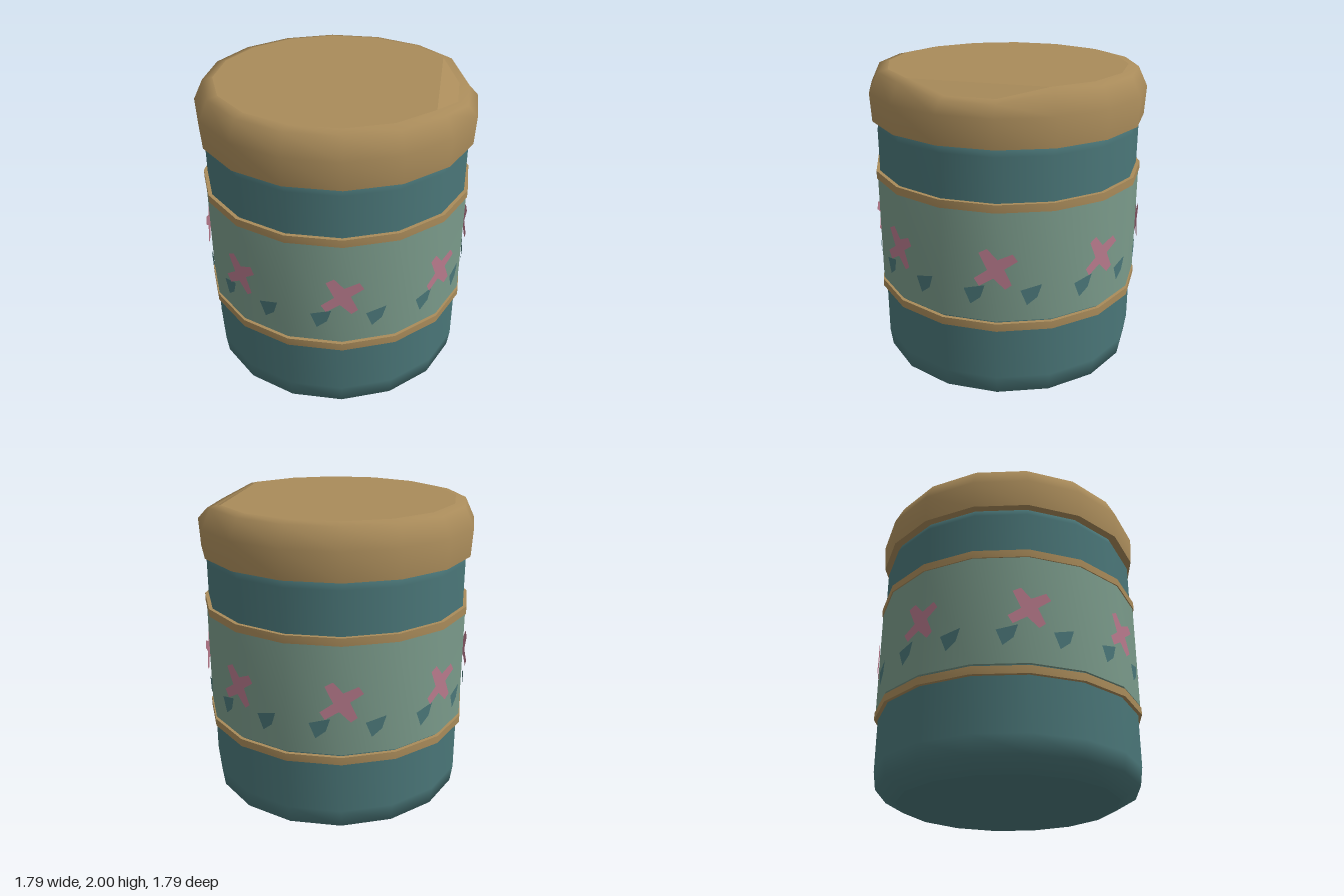
import * as THREE from 'three';
import { toCreasedNormals } from 'three/addons/utils/BufferGeometryUtils.js';

const SIDES = 16;
const STEP = (Math.PI * 2) / SIDES;

function makeMaterial(name, color, side = THREE.FrontSide) {
  const material = new THREE.MeshStandardMaterial({ color, side });
  material.name = name;
  return material;
}

function lathe(profile) {
  return new THREE.LatheGeometry(profile.map(([r, y]) => new THREE.Vector2(r, y)), SIDES);
}

// Flat polygon from corners in counter-clockwise order
function fan(corners) {
  const geometry = new THREE.BufferGeometry().setFromPoints(corners);
  const index = [];
  for (let i = 1; i < corners.length - 1; i++) index.push(0, i, i + 1);
  geometry.setIndex(index);
  geometry.computeVertexNormals();
  return geometry;
}

function outline(points) {
  return new THREE.ShapeGeometry(new THREE.Shape(points.map(([x, y]) => new THREE.Vector2(x, y))));
}

export function createModel() {
  const model = new THREE.Group();
  model.name = 'canister';

  const gold = makeMaterial('gold', 0xa98b5a);
  const teal = makeMaterial('teal', 0x4a7678);
  const sage = makeMaterial('sage', 0x7a9a8a);
  const pink = makeMaterial('pink', 0xb87a8c, THREE.DoubleSide);
  const leafTeal = makeMaterial('leaf teal', 0x4a7678, THREE.DoubleSide);

  function add(name, geometry, material, parent = model) {
    const mesh = new THREE.Mesh(geometry, material);
    mesh.name = name;
    parent.add(mesh);
    return mesh;
  }

  // Body with a rounded foot and shoulder
  add('body', lathe([[0.71, 0], [0.84, 0.075], [0.856, 0.19], [0.856, 1.63], [0.83, 1.69], [0.8, 1.72]]), teal);
  add('base', lathe([[0, 0], [0.71, 0]]), teal);

  // Wrapped sleeve and its two trim bands
  function ring(name, radius, bottom, top, material) {
    const profile = [[0.83, bottom], [radius, bottom], [radius, top], [0.83, top]];
    add(name, toCreasedNormals(lathe(profile), Math.PI / 6), material);
  }
  ring('sleeve', 0.873, 0.6, 1.305, sage);
  ring('lowerBand', 0.88, 0.535, 0.585, gold);
  ring('upperBand', 0.88, 1.305, 1.355, gold);

  // Lid, with two rim corners pressed down into a dent
  const lid = new THREE.Group();
  lid.name = 'lid';
  model.add(lid);
  const lidProfile = [[0.885, 1.68], [0.895, 1.86], [0.835, 1.985], [0.77, 2]];
  const lidSide = lathe(lidProfile);
  const position = lidSide.attributes.position;
  for (const corner of [1, 2]) {
    for (const level of [2, 3]) {
      const i = corner * lidProfile.length + level;
      position.setY(i, position.getY(i) - 0.06);
    }
  }
  add('lidSide', lidSide, gold, lid);
  add('lidUnderside', lathe([[0.8, 1.68], [0.885, 1.68]]), gold, lid);

  const rim = [];
  for (let i = 0; i < SIDES; i++) {
    rim.push(new THREE.Vector3().fromBufferAttribute(position, i * lidProfile.length + 3));
  }
  add('lidTop', fan([rim[0], ...rim.slice(3)]), gold, lid);
  add('lidDent', fan(rim.slice(0, 4)), gold, lid);

  // Painted details repeated around the sleeve
  function scatter(name, geometry, material, count, offset, radius, y) {
    const group = new THREE.Group();
    group.name = name + 's';
    for (let i = 0; i < count; i++) {
      const angle = offset + (i * Math.PI * 2) / count;
      const mesh = add(name, geometry, material, group);
      mesh.position.set(Math.sin(angle) * radius, y, Math.cos(angle) * radius);
      mesh.rotation.y = angle;
    }
    model.add(group);
  }

  const flower = outline([
    [-0.1, 0.105], [-0.05, 0.13], [0.01, 0.06], [0.1, 0.1], [0.13, 0.055], [0.05, 0],
    [0.095, -0.1], [0.055, -0.13], [-0.015, -0.06], [-0.1, -0.11], [-0.13, -0.06], [-0.05, -0.005],
  ]);
  scatter('flower', flower, pink, 8, 0, 0.879, 0.953);

  const leaf = outline([[-0.06, 0.03], [0.07, 0.063], [0.043, -0.02], [-0.02, -0.07]]);
  scatter('leaf', leaf, leafTeal, 16, STEP * 0.6, 0.87, 0.78);

  return model;
}
